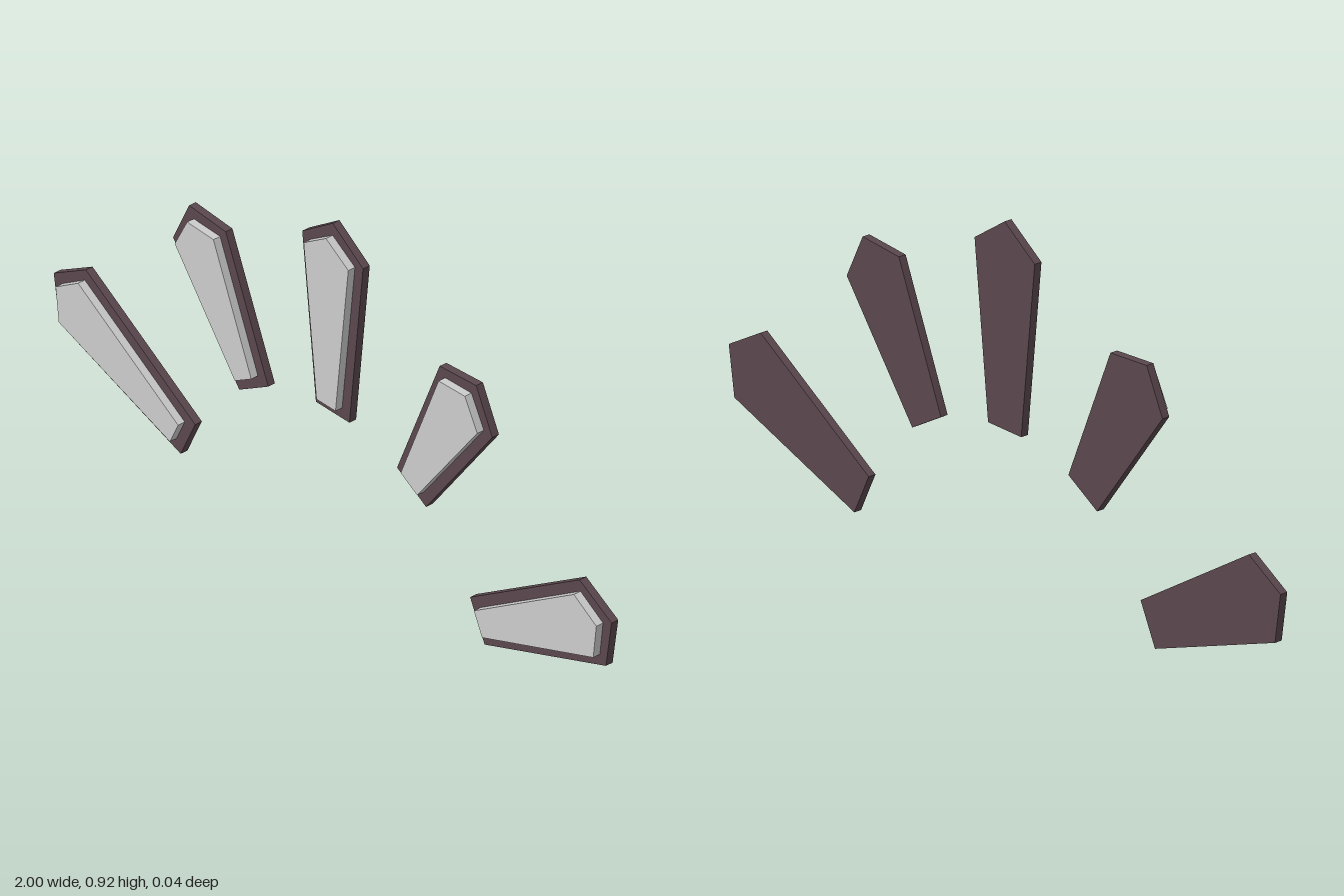
import * as THREE from 'three';

const frameMaterial = new THREE.MeshStandardMaterial({ color: 0x5a474d });
frameMaterial.name = 'dark plum frame';
const panelMaterial = new THREE.MeshStandardMaterial({ color: 0xcccccc });
panelMaterial.name = 'pale grey panel';

const DEPTH = 0.021;

// Tapered five-sided plate, narrow end at the bottom and a point at the top
function plate(name, material, bottom, bottomHalf, shoulder, shoulderHalf, tip, z) {
  const shape = new THREE.Shape([
    new THREE.Vector2(-bottomHalf, bottom),
    new THREE.Vector2(bottomHalf, bottom),
    new THREE.Vector2(shoulderHalf, shoulder),
    new THREE.Vector2(0, tip),
    new THREE.Vector2(-shoulderHalf, shoulder),
  ]);
  const geometry = new THREE.ExtrudeGeometry(shape, { depth: DEPTH, bevelEnabled: false });
  const mesh = new THREE.Mesh(geometry, material);
  mesh.name = name;
  mesh.position.z = z;
  return mesh;
}

// One blade: dark backing with a smaller raised panel in front
function blade(name, x, y, degrees, shoulder, tip) {
  const group = new THREE.Group();
  group.name = name;
  group.add(
    plate('backing', frameMaterial, 0, 0.06, shoulder, 0.109, tip, -DEPTH),
    plate('panel', panelMaterial, 0.029, 0.034, shoulder - 0.01, 0.08, tip - 0.034, 0),
  );
  group.position.set(x, y, 0);
  group.rotation.z = -THREE.MathUtils.degToRad(degrees);
  return group;
}

export function createModel() {
  const model = new THREE.Group();
  model.name = 'bladeFan';
  model.add(blade('centreBlade', 0, 0.387, 0, 0.459, 0.534));
  // Mirrored pairs
  for (const [side, s] of [['left', 1], ['right', -1]]) {
    model.add(
      blade(side + 'UpperBlade', s * 0.283, 0.315, s * 30, 0.39, 0.464),
      blade(side + 'LowerBlade', s * 0.519, 0.054, s * 64.3, 0.459, 0.534),
    );
  }
  return model;
}
